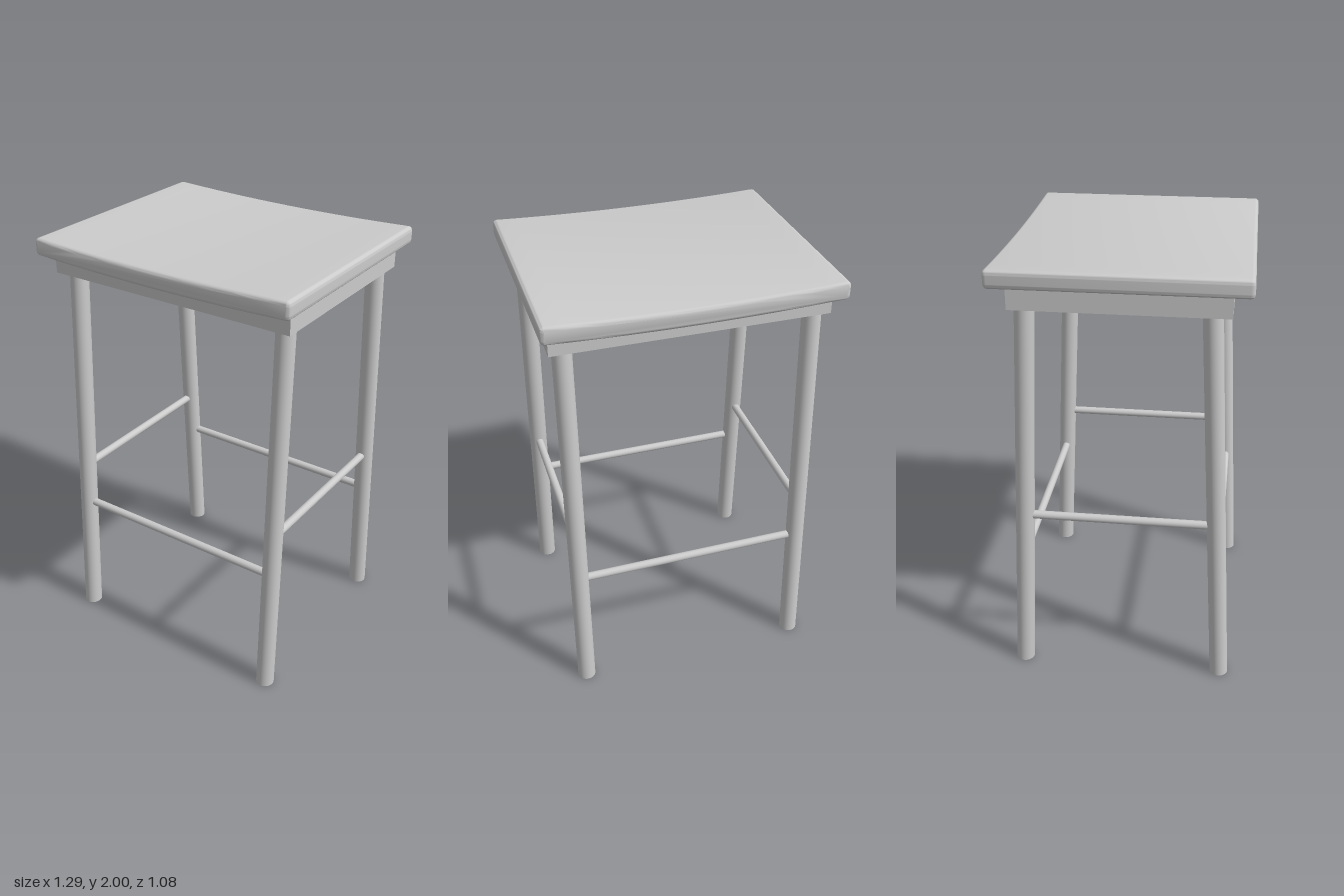
import * as THREE from 'three';
import { toCreasedNormals } from 'three/addons/utils/BufferGeometryUtils.js';

const material = new THREE.MeshStandardMaterial({ color: 0xcccccc });

// Leg centres at floor and at the underside of the frame
const LEG_TOP = 1.83;
const legX = { left: 0.54, right: -0.545 };
const legZ = { front: [0.466, 0.375], back: [-0.482, -0.394] };
const zAt = ([bottom, top], y) => bottom + (top - bottom) * y / LEG_TOP;

function add(group, name, geometry, x = 0, y = 0, z = 0) {
  const mesh = new THREE.Mesh(geometry, material);
  mesh.name = name;
  mesh.position.set(x, y, z);
  group.add(mesh);
  return mesh;
}

// Dished slab: curved profile in x/y, extruded in z with rounded edges
function seatGeometry() {
  const w = 0.645, r = 0.022, top = 2, bottom = 1.92, sag = 0.03, half = 0.538, bevel = 0.018;
  const s = new THREE.Shape();
  s.moveTo(-w + r, bottom);
  s.quadraticCurveTo(0, bottom - sag, w - r, bottom);
  s.quadraticCurveTo(w, bottom, w, bottom + r);
  s.lineTo(w, top - r);
  s.quadraticCurveTo(w, top, w - r, top);
  s.quadraticCurveTo(0, top - sag, -w + r, top);
  s.quadraticCurveTo(-w, top, -w, top - r);
  s.lineTo(-w, bottom + r);
  s.quadraticCurveTo(-w, bottom, -w + r, bottom);
  const g = new THREE.ExtrudeGeometry(s, {
    depth: 2 * (half - bevel), curveSegments: 16,
    bevelThickness: bevel, bevelSize: bevel, bevelOffset: -bevel, bevelSegments: 4,
  });
  g.translate(0, 0, -half + bevel);
  return toCreasedNormals(g, 0.6);
}

// Splayed leg: upright cylinder sheared in z so both ends stay level
function legGeometry([zBottom, zTop]) {
  const g = new THREE.CylinderGeometry(0.0425, 0.0425, LEG_TOP, 32);
  g.translate(0, LEG_TOP / 2, 0);
  const k = (zTop - zBottom) / LEG_TOP;
  g.applyMatrix4(new THREE.Matrix4().set(1, 0, 0, 0, 0, 1, 0, 0, 0, k, 1, zBottom, 0, 0, 0, 1));
  return g;
}

export function createModel() {
  const group = new THREE.Group();
  group.name = 'stool';
  add(group, 'seat', seatGeometry());

  // Frame under the seat: full-depth side rails, front and back rails between them
  const railW = 0.125, railH = 0.09, railY = 1.825 + railH / 2, fx = 0.605, fz = 0.456;
  for (const [side, s] of [['left', 1], ['right', -1]]) {
    add(group, `${side}Rail`, new THREE.BoxGeometry(railW, railH, 2 * fz), s * (fx - railW / 2), railY, 0);
  }
  for (const [end, s] of [['front', 1], ['back', -1]]) {
    add(group, `${end}Rail`, new THREE.BoxGeometry(2 * (fx - railW), railH, railW), 0, railY, s * (fz - railW / 2));
  }

  // Legs, and the low rungs joining them across the front and back
  const lowY = 0.617, highY = 0.823, rungR = 0.019;
  for (const end of ['front', 'back']) {
    for (const side of ['left', 'right']) {
      add(group, `${end}${side === 'left' ? 'Left' : 'Right'}Leg`, legGeometry(legZ[end]), legX[side]);
    }
    const rung = new THREE.CylinderGeometry(rungR, rungR, legX.left - legX.right, 20);
    add(group, `${end}Rung`, rung, (legX.left + legX.right) / 2, lowY, zAt(legZ[end], lowY)).rotation.z = Math.PI / 2;
  }

  // Higher rungs along the sides
  const zf = zAt(legZ.front, highY), zb = zAt(legZ.back, highY);
  for (const side of ['left', 'right']) {
    const rung = new THREE.CylinderGeometry(rungR, rungR, zf - zb, 20);
    add(group, `${side}Rung`, rung, legX[side], highY, (zf + zb) / 2).rotation.x = Math.PI / 2;
  }
  return group;
}
